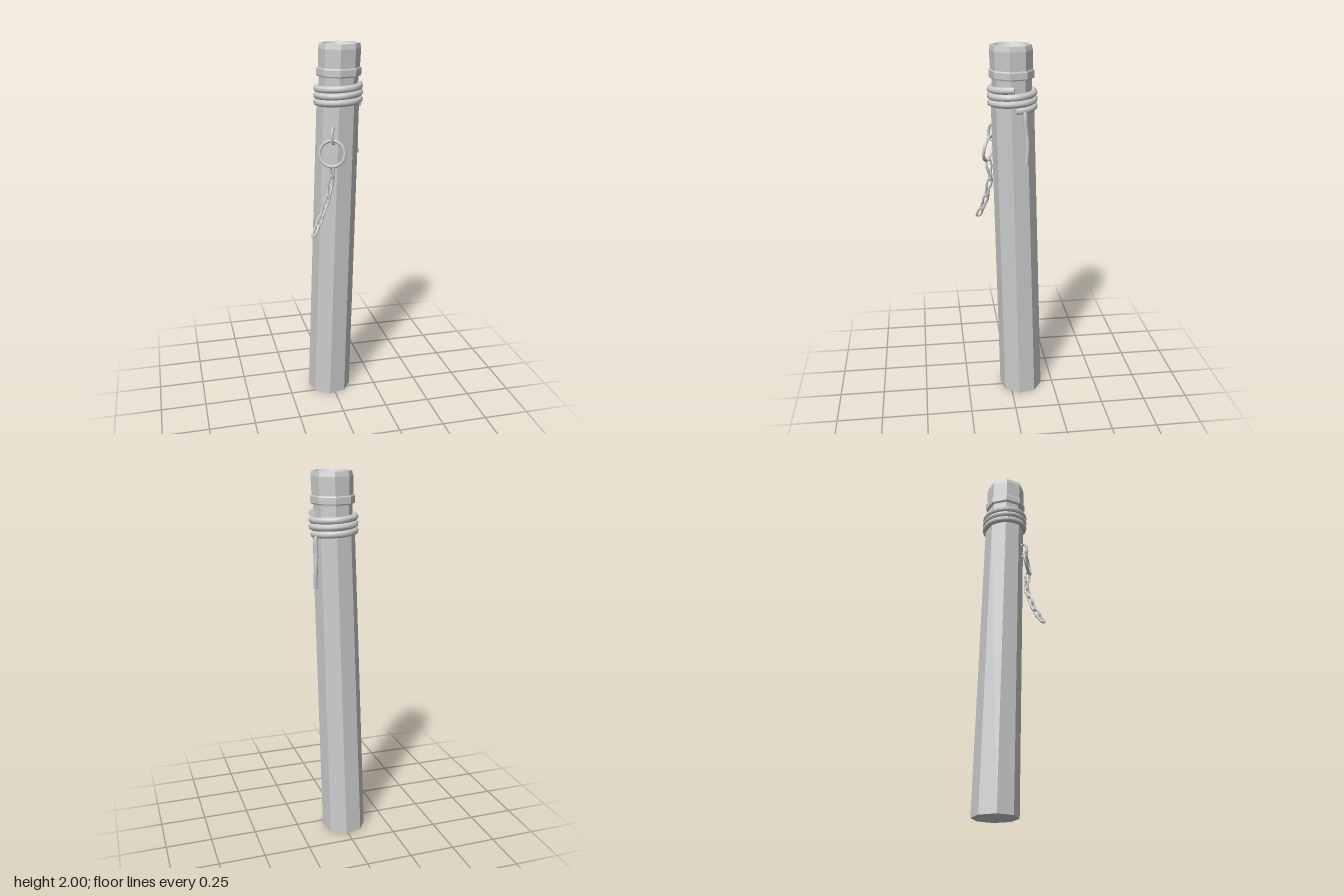
import * as THREE from 'three';

const axis = (y) => [-0.012 + 0.0225 * y, -0.062 + 0.0325 * y]; // leaning centre line

// Eight-sided turned shape whose cross-sections follow the leaning axis
function leaningLathe(profile, faceted = true) {
  const pts = profile.map(([r, y]) => new THREE.Vector2(r, y));
  let g = new THREE.LatheGeometry(pts, 8, THREE.MathUtils.degToRad(35));
  const p = g.attributes.position;
  for (let i = 0; i < p.count; i++) {
    const [ax, az] = axis(p.getY(i));
    p.setXYZ(i, p.getX(i) + ax, p.getY(i), p.getZ(i) + az);
  }
  if (faceted) g = g.toNonIndexed();
  g.computeVertexNormals();
  return g;
}

// Round cord along points, with closed ends
function cord(group, name, points, radius, segments, material) {
  const curve = new THREE.CatmullRomCurve3(points);
  const part = new THREE.Group();
  part.name = name;
  part.add(new THREE.Mesh(new THREE.TubeGeometry(curve, segments, radius, 8), material));
  for (const t of [0, 1]) {
    const cap = new THREE.Mesh(new THREE.CircleGeometry(radius, 8), material);
    const out = curve.getTangent(t).multiplyScalar(t ? 1 : -1);
    cap.position.copy(curve.getPoint(t));
    cap.quaternion.setFromUnitVectors(new THREE.Vector3(0, 0, 1), out);
    part.add(cap);
  }
  group.add(part);
}

export function createModel() {
  const model = new THREE.Group();
  model.name = 'mooringPost';
  const grey = new THREE.MeshStandardMaterial({ color: 0xcccccc });
  grey.name = 'plain grey';
  const V = (x, y, z) => new THREE.Vector3(x, y, z);
  const add = (name, geometry, parent = model) => {
    const mesh = new THREE.Mesh(geometry, grey);
    mesh.name = name;
    parent.add(mesh);
    return mesh;
  };

  // Post with narrowed neck, chamfered head and hollowed top
  add('post', leaningLathe([
    [0, 0], [0.121, 0], [0.111, 1.7], [0.102, 1.76], [0.102, 1.83],
    [0.108, 1.88], [0.11, 1.975], [0.104, 2], [0.092, 2],
  ]));
  add('hollowTop', leaningLathe([[0.092, 2], [0.085, 1.982], [0.05, 1.968], [0, 1.962]], false));
  add('neckBand', leaningLathe([
    [0.098, 1.835], [0.113, 1.836], [0.116, 1.842], [0.116, 1.874], [0.113, 1.88], [0.098, 1.881],
  ]));

  // Rope: three descending coils and a hanging tail
  const coils = [];
  const turns = 3, steps = 12;
  for (let i = 0; i <= turns * steps; i++) {
    const a = (i / steps) * Math.PI * 2;
    const y = 1.79 - (0.105 * i) / (turns * steps);
    const [ax, az] = axis(y);
    coils.push(V(ax + 0.112 * Math.cos(a), y, az + 0.112 * Math.sin(a)));
  }
  cord(model, 'ropeCoils', coils, 0.018, 72, grey);
  cord(model, 'ropeTail', [
    V(0.125, 1.7, -0.05), V(0.139, 1.66, -0.057), V(0.139, 1.58, -0.063),
    V(0.144, 1.51, -0.07), V(0.145, 1.41, -0.064),
  ], 0.011, 14, grey);

  // Staple holding the iron ring
  cord(model, 'staple', [
    V(-0.015, 1.57, 0.07), V(-0.025, 1.585, 0.098), V(-0.034, 1.55, 0.112),
    V(-0.026, 1.508, 0.106), V(-0.012, 1.5, 0.07),
  ], 0.008, 14, grey);
  const ring = add('ironRing', new THREE.TorusGeometry(0.067, 0.0085, 8, 24));
  ring.position.set(-0.033, 1.455, 0.112);
  ring.rotation.set(-0.15, -0.477, 0, 'YXZ');

  // Chain of stretched links, alternately turned a quarter
  const linkShape = new THREE.TorusGeometry(0.0145, 0.0065, 6, 10);
  const p = linkShape.attributes.position;
  for (let i = 0; i < p.count; i++) {
    p.setY(i, p.getY(i) + 0.018 * Math.sign(Math.round(p.getY(i) * 1e4)));
  }
  linkShape.computeVertexNormals();
  const path = new THREE.CatmullRomCurve3([
    V(-0.034, 1.36, 0.112), V(-0.04, 1.29, 0.106), V(-0.062, 1.21, 0.118),
    V(-0.095, 1.13, 0.133), V(-0.134, 1.057, 0.157),
  ]);
  const chain = new THREE.Group();
  chain.name = 'chain';
  model.add(chain);
  const links = 7;
  for (let i = 0; i < links; i++) {
    const t = i / (links - 1);
    const link = add('chainLink', linkShape, chain);
    link.position.copy(path.getPointAt(t));
    link.quaternion.setFromUnitVectors(V(0, -1, 0), path.getTangentAt(t));
    link.rotateY(i % 2 ? 0.35 : 0.35 + Math.PI / 2);
  }
  return model;
}
